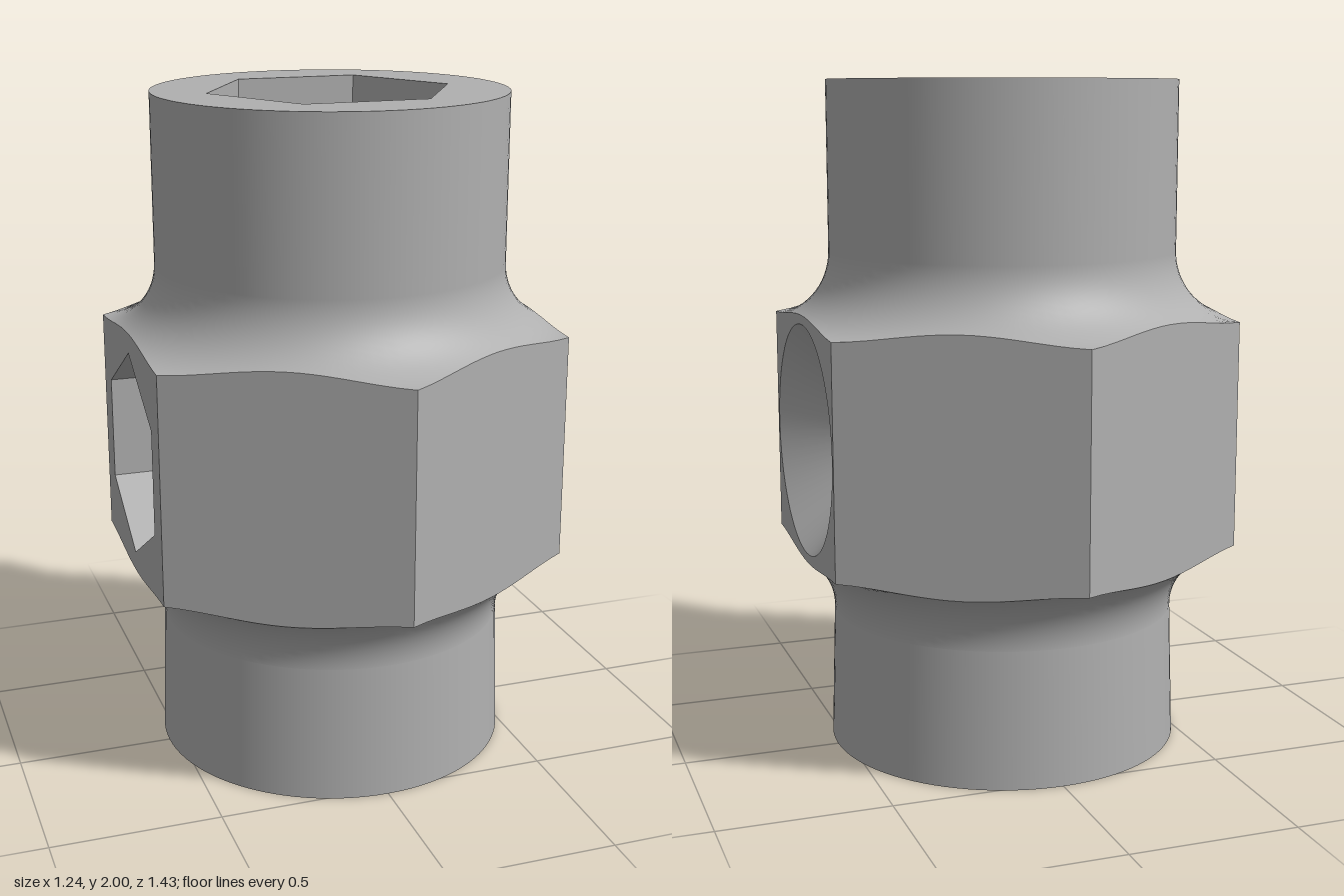
import * as THREE from 'three';

const FLAT = 0.618;              // centre to hex flat
const TUBE = 0.52;               // radius of the round necks
const FIL_R = 0.725, FIL = 0.205; // fillet arc centre radius and arc radius
const FIL_TOP = 1.5, FIL_LOW = 0.41;
const MID = 0.955;               // height of the side holes
const BORE_X = 0.367, BORE_Z = 0.318; // bore corner and flat
const LIP = 1.91, SLOT_X = 0.16, SLOT_Z = 0.36;
const SEG = 96;

const steel = new THREE.MeshStandardMaterial({ color: 0xb0b0b0, side: THREE.DoubleSide });
steel.name = 'steel grey';

const V = (x, y) => new THREE.Vector2(x, y);
const boreX = (z) => BORE_X - Math.abs(z) / Math.sqrt(3);
const rise = (r) => Math.sqrt(Math.max(0, FIL * FIL - (FIL_R - r) ** 2));

function add(group, name, geometry) {
  const mesh = new THREE.Mesh(geometry, steel);
  mesh.name = name;
  group.add(mesh);
  return mesh;
}

// Round fillet flaring from a neck out to the hexagon outline
function filletGeometry(centreY, dir) {
  const rows = 12, pts = [];
  for (let j = 0; j <= rows; j++) pts.push(V(1, j / rows));
  const g = new THREE.LatheGeometry(pts, SEG);
  const p = g.attributes.position, n = g.attributes.normal;
  for (let i = 0; i < p.count; i++) {
    const a = Math.floor(i / (rows + 1)) / SEG * Math.PI * 2;
    const phi = (a % (Math.PI / 3)) - Math.PI / 6;
    const s = dir > 0 ? p.getY(i) : 1 - p.getY(i);
    const r = TUBE + (FLAT / Math.cos(phi) - TUBE) * s * s;
    const y = centreY + dir * rise(r);
    p.setXYZ(i, r * Math.sin(a), y, r * Math.cos(a));
    const nr = (FIL_R - r) / FIL, ny = (centreY - y) / FIL;
    n.setXYZ(i, nr * Math.sin(a), ny, nr * Math.cos(a));
  }
  return g;
}

// One hexagon flat with scalloped upper and lower edges
function flatShape() {
  const top = [], low = [];
  for (let i = 0; i <= SEG / 6; i++) {
    const t = FLAT * Math.tan(-Math.PI / 6 + i / SEG * Math.PI * 2);
    const h = rise(Math.hypot(FLAT, t));
    low.push(V(t, FIL_LOW + h));
    top.push(V(t, FIL_TOP - h));
  }
  return new THREE.Shape([...low, ...top.reverse()]);
}

// Outline of a hole, its corners starting at the top
function ring(radius, sides, cy, count = sides) {
  const pts = [];
  for (let i = 0; i < count; i++) {
    const a = i / sides * Math.PI * 2;
    pts.push(V(Math.sin(a) * radius, cy + Math.cos(a) * radius));
  }
  return pts;
}

// Side tunnel whose inner end follows the bore wall
function tunnel(radius, sides, outerX, dir, flat) {
  let g = new THREE.CylinderGeometry(radius, radius, 1, sides, 1, true, flat ? Math.PI / 6 : 0);
  g.rotateZ(-dir * Math.PI / 2);
  g.translate(0, MID, 0);
  const p = g.attributes.position;
  for (let i = 0; i < p.count; i++) {
    const outer = p.getX(i) * dir > 0;
    p.setX(i, dir * (outer ? outerX : boreX(p.getZ(i))));
  }
  if (flat) {
    g = g.toNonIndexed();
    g.computeVertexNormals();
  }
  return g;
}

// Half of a bore corner: a slanted wall with half a side hole cut from it
function boreWall(radius, sides, sx, sz) {
  const notch = ring(radius, sides, MID, sides / 2 + 1);
  const shape = new THREE.Shape([V(0, 0), V(BORE_Z, 0), V(BORE_Z, 2), V(0, 2), ...notch]);
  const g = new THREE.ShapeGeometry(shape);
  const p = g.attributes.position;
  for (let i = 0; i < p.count; i++) {
    const z = p.getX(i);
    p.setXYZ(i, sx * boreX(z), p.getY(i), sz * z);
  }
  g.computeVertexNormals();
  return g;
}

// Ring-shaped end face around the bore
function endFace(radius, hole) {
  const shape = new THREE.Shape(ring(radius, SEG, 0));
  shape.holes.push(new THREE.Path(hole));
  return new THREE.ShapeGeometry(shape);
}

export function createModel() {
  const model = new THREE.Group();
  model.name = 'hexSocketAdapter';

  // Round necks
  const upperH = 2 - FIL_TOP;
  add(model, 'upperNeck', new THREE.CylinderGeometry(TUBE, TUBE, upperH, SEG, 1, true)
    .translate(0, 2 - upperH / 2, 0));
  add(model, 'lowerNeck', new THREE.CylinderGeometry(TUBE, 0.533, FIL_LOW, SEG, 1, true)
    .translate(0, FIL_LOW / 2, 0));
  add(model, 'upperFillet', filletGeometry(FIL_TOP, -1));
  add(model, 'lowerFillet', filletGeometry(FIL_LOW, 1));

  // Hexagon flats; the first has the countersink, the fourth the hex socket
  for (let i = 0; i < 6; i++) {
    const shape = flatShape();
    if (i === 0) shape.holes.push(new THREE.Path(ring(0.343, 64, MID)));
    if (i === 3) shape.holes.push(new THREE.Path(ring(0.31, 6, MID)));
    const g = new THREE.ShapeGeometry(shape);
    g.translate(0, 0, FLAT);
    g.rotateY(Math.PI / 2 + i * Math.PI / 3);
    add(model, 'hexFlat', g);
  }

  // Countersink and side holes
  const sinkDepth = 0.17;
  add(model, 'countersink', new THREE.CylinderGeometry(0.343, 0.173, sinkDepth, 64, 1, true)
    .rotateZ(-Math.PI / 2).translate(FLAT - sinkDepth / 2, MID, 0));
  add(model, 'roundSideHole', tunnel(0.173, 64, FLAT - sinkDepth, 1, false));
  add(model, 'hexSideSocket', tunnel(0.31, 6, FLAT, -1, true));

  // End faces: plain hexagon above, slotted hexagon below
  const cx = boreX(BORE_Z);
  const hex = [V(BORE_X, 0), V(cx, BORE_Z), V(-cx, BORE_Z),
    V(-BORE_X, 0), V(-cx, -BORE_Z), V(cx, -BORE_Z)];
  const halfSlot = (s) => [V(s * BORE_X, 0), V(s * cx, s * BORE_Z), V(s * SLOT_X, s * BORE_Z),
    V(s * SLOT_X, s * SLOT_Z), V(-s * SLOT_X, s * SLOT_Z),
    V(-s * SLOT_X, s * BORE_Z), V(-s * cx, s * BORE_Z)];
  add(model, 'topFace', endFace(TUBE, hex).rotateX(-Math.PI / 2).translate(0, 2, 0));
  add(model, 'bottomFace', endFace(0.533, [...halfSlot(1), ...halfSlot(-1)]).rotateX(Math.PI / 2));

  // Bore walls, with a shallow slot in the front and back ones
  const depth = SLOT_Z - BORE_Z, midZ = (SLOT_Z + BORE_Z) / 2;
  for (const s of [1, -1]) {
    add(model, 'boreWallRight', boreWall(0.173, 64, 1, s));
    add(model, 'boreWallLeft', boreWall(0.31, 6, -1, s));
    const wall = new THREE.Shape([V(-cx, 0), V(-SLOT_X, 0), V(-SLOT_X, LIP), V(SLOT_X, LIP),
      V(SLOT_X, 0), V(cx, 0), V(cx, 2), V(-cx, 2)]);
    add(model, 'boreWallFlat', new THREE.ShapeGeometry(wall).translate(0, 0, s * BORE_Z));
    add(model, 'slotBack', new THREE.PlaneGeometry(2 * SLOT_X, LIP).translate(0, LIP / 2, s * SLOT_Z));
    add(model, 'slotCeiling', new THREE.PlaneGeometry(2 * SLOT_X, depth)
      .rotateX(Math.PI / 2).translate(0, LIP, s * midZ));
    for (const e of [1, -1]) {
      add(model, 'slotSide', new THREE.PlaneGeometry(depth, LIP)
        .rotateY(Math.PI / 2).translate(e * SLOT_X, LIP / 2, s * midZ));
    }
  }
  return model;
}
